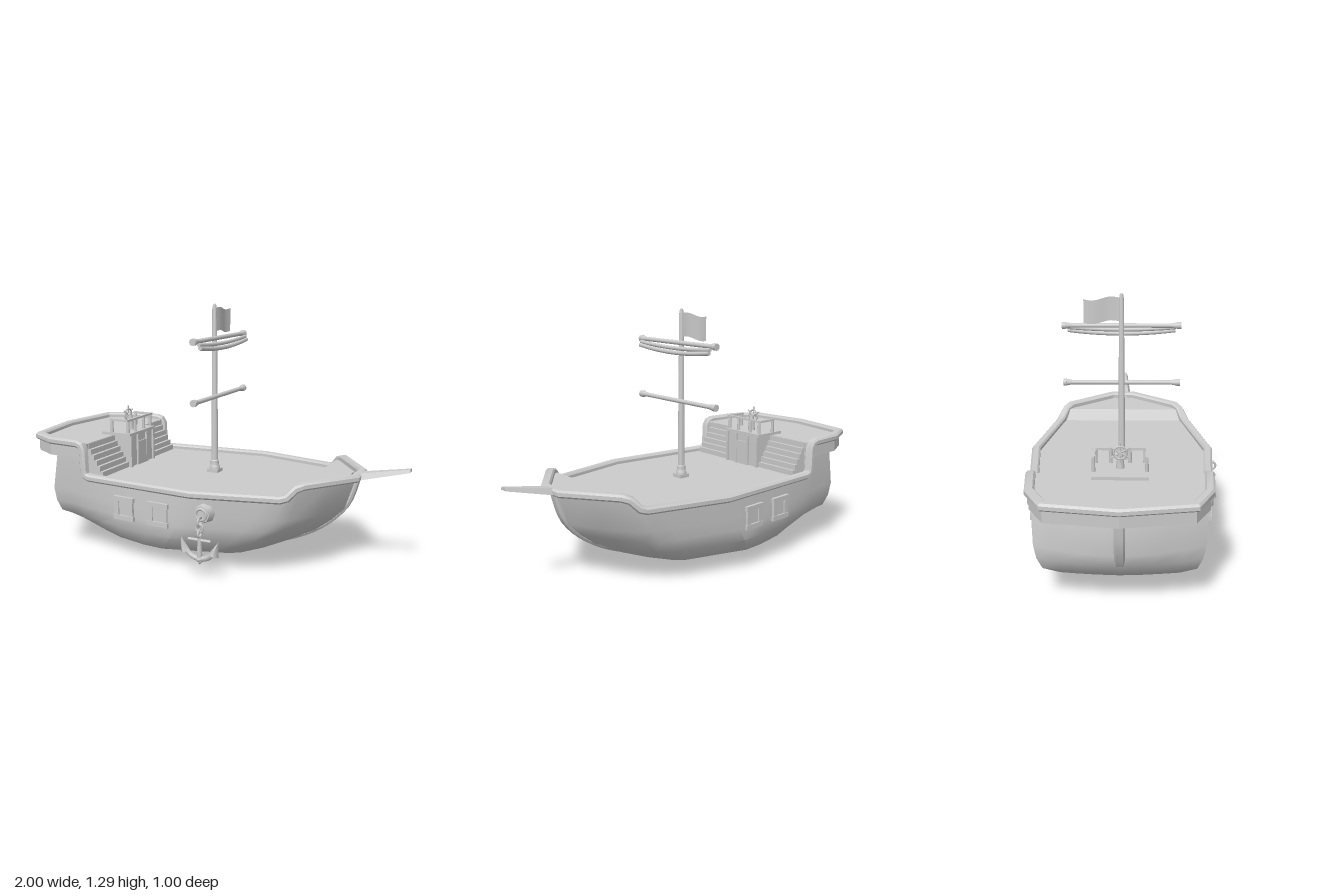
import * as THREE from 'three';
import { toCreasedNormals } from 'three/addons/utils/BufferGeometryUtils.js';

const mat = new THREE.MeshStandardMaterial({ color: 0xcccccc });
const thin = new THREE.MeshStandardMaterial({ color: 0xcccccc, side: THREE.DoubleSide });
const { lerp, smoothstep } = THREE.MathUtils;

function add(parent, name, geo, x = 0, y = 0, z = 0, material = mat) {
  const m = new THREE.Mesh(geo, material);
  m.name = name;
  m.position.set(x, y, z);
  parent.add(m);
  return m;
}
function group(parent, name, x = 0, y = 0, z = 0) {
  const g = new THREE.Group();
  g.name = name;
  g.position.set(x, y, z);
  parent.add(g);
  return g;
}
const box = (w, h, d) => new THREE.BoxGeometry(w, h, d);
const cyl = (rt, rb, h, n = 12) => new THREE.CylinderGeometry(rt, rb, h, n);

// Skin a list of equal-length rings of [x, y, z]
function loft(rings, closeRing = false, closeLoop = false, crease = 0.6) {
  const n = rings[0].length, k = rings.length, idx = [];
  for (let i = 0; i < (closeLoop ? k : k - 1); i++)
    for (let j = 0; j < (closeRing ? n : n - 1); j++) {
      const a = i * n + j, b = i * n + (j + 1) % n;
      const c = ((i + 1) % k) * n + j, d = ((i + 1) % k) * n + (j + 1) % n;
      idx.push(a, b, c, b, d, c);
    }
  const g = new THREE.BufferGeometry();
  g.setAttribute('position', new THREE.Float32BufferAttribute(rings.flat(2), 3));
  g.setIndex(idx);
  return toCreasedNormals(g, crease);
}

// Half width of the ship's outer outline at x
const outline = [[-1, 0], [-0.95, 0.34], [-0.81, 0.415], [0.055, 0.483], [0.5, 0.38], [0.565, 0.335], [0.765, 0.06]];
function halfWidth(x) {
  for (let i = 1; i < outline.length; i++) {
    const [x0, w0] = outline[i - 1], [x1, w1] = outline[i];
    if (x <= x1) return lerp(w0, w1, (x - x0) / (x1 - x0));
  }
  return 0.06;
}

function hullGeometry() {
  // Stations along the top edge: [x, top height]
  const stations = [[-0.77, 0.51], [-0.7, 0.51], [-0.6, 0.51], [-0.58, 0.405], [-0.45, 0.405], [-0.3, 0.405], [-0.1, 0.405],
    [0.055, 0.405], [0.18, 0.405], [0.3, 0.405], [0.4, 0.405], [0.5, 0.41], [0.565, 0.465], [0.66, 0.465], [0.74, 0.465]];
  // Levels: [y amidships, y at stern, stern centre x, stern corner x, bow x, width scale, stern scale]
  const levels = [[0, 0, -0.87, -0.77, 0.74, 1, 0.98], [0.3, 0.32, -0.905, -0.805, 0.685, 1, 0.96],
    [0.235, 0.25, -0.875, -0.8, 0.62, 1, 0.93], [0.17, 0.19, -0.83, -0.785, 0.535, 0.99, 0.88],
    [0.085, 0.15, -0.78, -0.755, 0.37, 0.85, 0.8], [0.045, 0.143, -0.745, -0.735, 0.2, 0.45, 0.8],
    [0.028, 0.138, -0.73, -0.725, 0.14, 0, 0]];
  const ring = (u, x0, top, inward = 1) => {
    const half = levels.map(([ym, ys, xc, xs, xb, s, ss]) => {
      const w = (u === 1 ? 0.02 : halfWidth(x0) - 0.015) * s * lerp(ss, 1, smoothstep(u, 0, 0.4));
      const x = inward < 1 ? lerp(xc, xs, inward ** 1.6) : lerp(xs, xb, u);
      const y = lerp(ym, ys, Math.max(0, 1 - u / 0.5) ** 2);
      return [x, y || top, w * inward];
    });
    return [...half, ...half.slice(0, -1).reverse().map(([x, y, z]) => [x, y, -z])];
  };
  const rings = [0, 0.4, 0.75].map(t => ring(0, -0.77, 0.51, t));
  for (const [x, top] of stations) rings.push(ring((x + 0.77) / 1.51, x, top));
  return loft(rings, false, false, 0.8);
}

function railGeometry() {
  const side = [[-0.93, 0.58], [-0.8, 0.58], [-0.63, 0.58], [-0.605, 0.572], [-0.594, 0.55], [-0.589, 0.44], [-0.58, 0.418],
    [-0.555, 0.408], [0.055, 0.408], [0.475, 0.408], [0.505, 0.418], [0.54, 0.46], [0.57, 0.472], [0.745, 0.472]]
    .map(([x, y]) => new THREE.Vector3(x, y, halfWidth(x) - 0.022));
  side[0].z = 0.325;
  const path = [new THREE.Vector3(-0.978, 0.58, 0), ...side,
    ...side.slice().reverse().map(p => new THREE.Vector3(p.x, p.y, -p.z))];
  const section = [[-0.022, -0.018], [0.014, -0.018], [0.023, -0.009], [0.023, 0.009], [0.014, 0.019], [-0.014, 0.019], [-0.022, 0.01]];
  const flat = v => v.clone().setY(0).normalize();
  const rings = path.map((p, i) => {
    const a = p.clone().sub(path.at(i - 1)), b = path[(i + 1) % path.length].clone().sub(p);
    const dir = flat(flat(a).add(flat(b)));
    const out = new THREE.Vector3(-dir.z, 0, dir.x);
    const miter = 1 / Math.max(0.6, dir.dot(flat(a)));
    const tan = a.normalize().add(b.normalize()).normalize();
    const up = out.clone().cross(tan).normalize();
    if (up.y < 0) up.negate();
    return section.map(([s, t]) => p.clone().addScaledVector(out, s * miter).addScaledVector(up, t).toArray());
  });
  return loft(rings, true, true, 0.5);
}

function keelGeometry() {
  const pts = [[-0.965, 0.51], [-0.94, 0.38], [-0.87, 0.245], [-0.74, 0.125], [-0.47, 0.04], [-0.125, 0.004], [0.17, 0.035],
    [0.435, 0.11], [0.595, 0.2], [0.7, 0.31], [0.745, 0.43], [0.755, 0.47]].map(p => new THREE.Vector3(...p, 0));
  const curve = new THREE.CatmullRomCurve3(pts), rings = [];
  // Chamfered strip: [half width, depth inward from the outer edge]
  const section = [[0.024, 0.045], [0.024, 0.01], [0.016, 0], [-0.016, 0], [-0.024, 0.01], [-0.024, 0.045]];
  for (let i = 0; i <= 48; i++) {
    const p = curve.getPointAt(i / 48), t = curve.getTangentAt(i / 48);
    rings.push(section.map(([z, d]) => [p.x - t.y * d, p.y + t.x * d, z]));
  }
  return loft(rings, true, false, 0.5);
}

function buildWindow(parent, x, side) {
  const z = halfWidth(x) - 0.013;
  const g = group(parent, 'window', x, 0.283, side * z);
  g.rotation.y = side > 0 ? -0.078 : Math.PI + 0.078;
  add(g, 'windowPane', box(0.09, 0.09, 0.012));
  for (const s of [-1, 1]) {
    add(g, 'windowFrameBar', box(0.122, 0.024, 0.032), 0, s * 0.048, 0);
    add(g, 'windowFramePost', box(0.024, 0.11, 0.026), s * 0.043, 0, 0);
  }
}

function buildYard(parent, y) {
  const g = group(parent, 'yard', -0.014, y, 0);
  g.rotation.x = Math.PI / 2;
  add(g, 'yardSpar', cyl(0.0115, 0.0115, 0.56));
  for (const s of [-1, 1]) {
    add(g, 'yardCap', cyl(0.018, 0.018, 0.018), 0, s * 0.29, 0);
    add(g, 'yardCollar', s > 0 ? cyl(0.017, 0.0115, 0.03) : cyl(0.0115, 0.017, 0.03), 0, s * 0.266, 0);
  }
}

function buildAnchor(parent) {
  const g = group(parent, 'anchor', 0.12, 0, 0.493);
  const port = add(g, 'hawsePipe', cyl(0.042, 0.053, 0.045, 8), 0, 0.32, -0.04);
  port.rotation.x = Math.PI / 2;
  add(g, 'hawseRing', new THREE.TorusGeometry(0.028, 0.008, 6, 12), 0, 0.32, -0.015);
  const hook = add(g, 'hawseHook', cyl(0.006, 0.006, 0.04, 8), 0, 0.31, -0.008);
  hook.rotation.x = Math.PI / 2;
  [[0.288, 0.021], [0.258, 0.019], [0.23, 0.018]].forEach(([y, r], i) => {
    const link = add(g, 'chainLink', new THREE.TorusGeometry(r, 0.006, 6, 12), 0, y, 0);
    link.rotation.y = i % 2 ? 0 : Math.PI / 2;
  });
  add(g, 'shank', cyl(0.009, 0.015, 0.13, 8), 0, 0.157, 0);
  add(g, 'stock', cyl(0.008, 0.008, 0.12, 8), 0, 0.198, 0).rotation.z = Math.PI / 2;
  const arms = add(g, 'arms', new THREE.TorusGeometry(0.085, 0.014, 6, 16, 2.4), 0, 0.19, 0);
  arms.rotation.z = Math.PI + 0.37;
  add(g, 'crown', new THREE.OctahedronGeometry(0.024), 0, 0.104, 0).scale.y = 1.2;
  for (const s of [-1, 1]) {
    const fluke = add(g, 'fluke', new THREE.ConeGeometry(0.026, 0.075, 4), s * 0.088, 0.168, 0);
    fluke.rotation.z = -s * 0.35;
  }
}

function buildQuarterdeck(ship) {
  // Overhanging stern with the aft deck on top
  const edge = [[-0.593, halfWidth(-0.593) - 0.016], [-0.81, 0.398], [-0.935, 0.328]];
  const shape = new THREE.Shape([...edge, [-0.982, 0], ...edge.slice().reverse().map(([x, w]) => [x, -w])]
    .map(p => new THREE.Vector2(...p)));
  const stern = new THREE.ExtrudeGeometry(shape, { depth: 0.073, bevelEnabled: false });
  add(ship, 'aftDeck', stern.rotateX(-Math.PI / 2), 0, 0.502, 0);
  add(ship, 'aftWall', box(0.02, 0.17, 0.8), -0.605, 0.488, 0);
  for (let i = 0; i < 6; i++) {
    const front = -0.505 - i * 0.017, h = 0.028 * (i + 1);
    add(ship, 'stairStep', box(front + 0.61, 0.028, 0.74), (front - 0.61) / 2, 0.405 + h - 0.014, 0);
  }
  // Cabin with helm platform
  const cabin = group(ship, 'cabin');
  add(cabin, 'cabinWall', box(0.11, 0.17, 0.24), -0.55, 0.49, 0);
  add(cabin, 'helmPlatform', box(0.18, 0.016, 0.26), -0.578, 0.582, 0);
  add(cabin, 'door', box(0.012, 0.13, 0.075), -0.492, 0.47, 0);
  for (const z of [-0.115, -0.045, 0.045, 0.115]) {
    add(cabin, 'cabinPost', box(0.016, 0.17, 0.014), -0.492, 0.49, z);
    add(cabin, 'railingPost', cyl(0.007, 0.009, 0.075, 8), -0.507, 0.625, z);
  }
  add(cabin, 'frontHandrail', box(0.014, 0.011, 0.262), -0.507, 0.66, 0);
  for (const s of [-1, 1]) {
    add(cabin, 'sideHandrail', box(0.115, 0.011, 0.014), -0.558, 0.66, s * 0.122);
    add(cabin, 'railingPost', cyl(0.007, 0.009, 0.075, 8), -0.605, 0.625, s * 0.122);
  }
  // Steering wheel
  const wheel = group(ship, 'steeringWheel', -0.578, 0.67, 0);
  add(wheel, 'wheelPedestal', cyl(0.011, 0.02, 0.08, 8), 0.014, -0.04, 0);
  add(wheel, 'wheelRim', new THREE.TorusGeometry(0.031, 0.005, 6, 20)).rotation.y = Math.PI / 2;
  add(wheel, 'wheelHub', cyl(0.009, 0.009, 0.035, 10)).rotation.z = Math.PI / 2;
  for (let i = 0; i < 3; i++) add(wheel, 'wheelSpoke', cyl(0.004, 0.004, 0.1, 6)).rotation.x = i * Math.PI / 3;
}

function buildMast(ship) {
  const mast = group(ship, 'mast', -0.043, 0, 0);
  add(mast, 'mastStep', box(0.06, 0.018, 0.06), 0, 0.414, 0);
  const profile = [[0.028, 0.42], [0.028, 0.432], [0.022, 0.445], [0.022, 0.465], [0.018, 0.47], [0.012, 1.26], [0.008, 1.285], [0, 1.29]];
  add(mast, 'mastPole', toCreasedNormals(new THREE.LatheGeometry(profile.map(p => new THREE.Vector2(...p)), 16), 0.5));
  // Flag
  const rings = [];
  for (let i = 0; i <= 12; i++) {
    const t = i / 12, wave = Math.sin(t * Math.PI * 2);
    rings.push([1.145, 1.265].map(y => [0.005 * wave, y - 0.008 * t + 0.007 * wave, -0.008 - 0.18 * t]));
  }
  add(mast, 'flag', loft(rings, false, false, 1), 0, 0, 0, thin);
  buildYard(ship, 1.117);
  buildYard(ship, 0.817);
  // Furled sail
  for (const [x, y, drop, r] of [[0.006, 1.102, 0.024, 0.01], [0.013, 1.086, 0.036, 0.011]]) {
    const curve = new THREE.QuadraticBezierCurve3(new THREE.Vector3(x, y, -0.27),
      new THREE.Vector3(x, y - drop, 0), new THREE.Vector3(x, y, 0.27));
    add(ship, 'furledSail', new THREE.TubeGeometry(curve, 16, r, 8));
    for (const s of [-1, 1]) add(ship, 'sailEnd', cyl(r, r, 0.004, 8), x, y, s * 0.27).rotation.x = Math.PI / 2;
  }
}

export function createModel() {
  const model = new THREE.Group();
  model.name = 'sailingShip';
  const ship = group(model, 'ship', 0, 0, -0.018);

  add(ship, 'hull', hullGeometry(), 0, 0, 0, thin);
  add(ship, 'keel', keelGeometry(), 0, 0, 0, thin);
  add(ship, 'rail', railGeometry(), 0, 0, 0, thin);

  // Main deck rising by a ramp to the foredeck
  const deck = [[-0.6, 0.403], [0.055, 0.403], [0.5, 0.403], [0.53, 0.462], [0.565, 0.462], [0.745, 0.462]]
    .map(([x, y]) => [1, -1].map(s => [x, y, s * (halfWidth(x) - 0.018)]));
  add(ship, 'mainDeck', loft(deck, false, false, 0.3), 0, 0, 0, thin);

  // Tapered bowsprit
  const sprit = [[0.75, 0.457, 0.489, 0.042], [1, 0.518, 0.534, 0.02]]
    .map(([x, lo, hi, w]) => [[x, lo, w], [x, hi, w * 0.6], [x, hi, -w * 0.6], [x, lo, -w]]);
  add(ship, 'bowsprit', loft(sprit, true, false, 0.3), 0, 0, 0.005, thin);
  add(ship, 'bowspritTip', box(0.004, 0.015, 0.026), 0.998, 0.526, 0.005);

  buildQuarterdeck(ship);
  buildMast(ship);
  for (const side of [1, -1]) for (const x of [-0.33, -0.125]) buildWindow(ship, x, side);
  buildAnchor(ship);
  return model;
}
